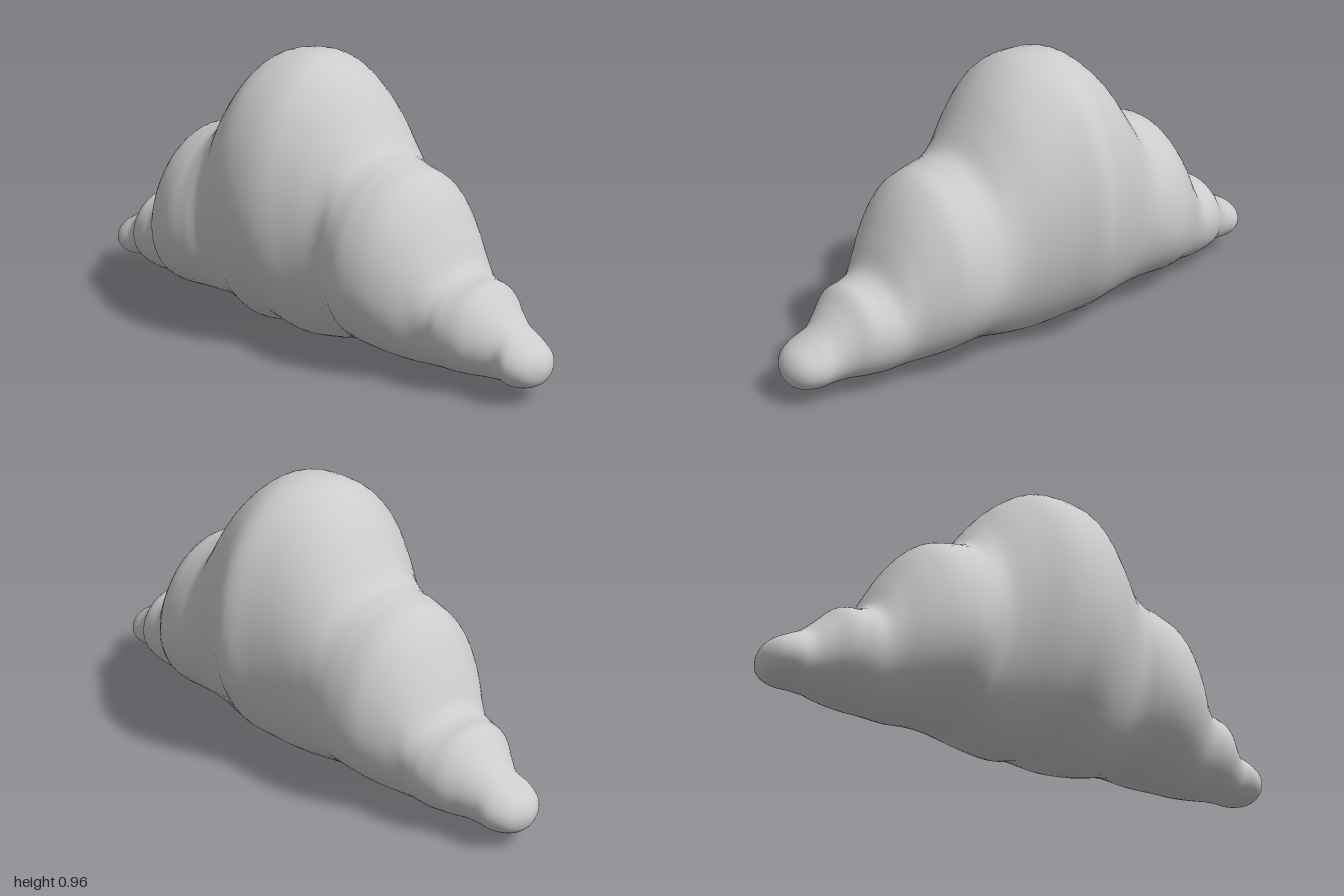
import * as THREE from 'three';

// Cross-sections from the middle bulge to the tip:
// [z, top y, bottom y, y of widest point, x of the right side, x of the left side]
const HALF = [
  [0.00, 0.970, 0.030, 0.48, -0.386, 0.386],
  [0.10, 0.950, 0.008, 0.48, -0.368, 0.345],
  [0.20, 0.872, 0.015, 0.46, -0.312, 0.305],
  [0.28, 0.770, 0.032, 0.40, -0.276, 0.280],
  [0.34, 0.690, 0.045, 0.35, -0.295, 0.279],
  [0.41, 0.662, 0.050, 0.32, -0.310, 0.281],
  [0.49, 0.637, 0.040, 0.31, -0.292, 0.265],
  [0.56, 0.568, 0.036, 0.28, -0.254, 0.227],
  [0.62, 0.468, 0.035, 0.25, -0.208, 0.190],
  [0.665, 0.378, 0.037, 0.215, -0.188, 0.178],
  [0.71, 0.347, 0.041, 0.20, -0.187, 0.174],
  [0.77, 0.337, 0.047, 0.19, -0.170, 0.155],
  [0.82, 0.290, 0.052, 0.17, -0.137, 0.122],
  [0.87, 0.243, 0.053, 0.145, -0.112, 0.101],
  [0.92, 0.212, 0.052, 0.13, -0.120, 0.096],
  [0.965, 0.186, 0.062, 0.125, -0.098, 0.072],
  [0.99, 0.158, 0.084, 0.122, -0.060, 0.036],
  [1.00, 0.122, 0.122, 0.122, -0.012, -0.012],
];

// Smooth curve through four rows, applied to every column
function blend(a, b, c, d, t) {
  return b.map((p, k) =>
    p + 0.5 * t * (c[k] - a[k] + t * (2 * a[k] - 5 * p + 4 * c[k] - d[k] + t * (3 * (p - c[k]) + d[k] - a[k]))));
}

// Past a tip the outline comes back on the opposite side
const turned = ([z, top, bottom, mid, right, left]) => [z, bottom, top, mid, left, right];

function bodyGeometry(steps = 5, sides = 56) {
  const mirrored = HALF.slice(1).reverse().map(([z, ...rest]) => [-z, ...rest]);
  const rows = [...mirrored, ...HALF];
  const last = rows.length - 1;
  const row = (i) => (i < 0 ? turned(rows[1]) : i > last ? turned(rows[last - 1]) : rows[i]);

  const sections = [];
  for (let i = 0; i < last; i++) {
    for (let s = 0; s < steps; s++) {
      sections.push(blend(row(i - 1), row(i), row(i + 1), row(i + 2), s / steps));
    }
  }
  sections.push(rows[last]);

  // Egg-shaped rings
  const positions = [];
  for (const [z, top, bottom, mid, right, left] of sections) {
    const cx = (left + right) / 2;
    const rx = (left - right) / 2;
    for (let j = 0; j < sides; j++) {
      const a = (j / sides) * Math.PI * 2;
      const h = Math.sin(a);
      positions.push(cx + rx * Math.cos(a), mid + h * (h > 0 ? top - mid : mid - bottom), z);
    }
  }

  // Join the rings; each tip is a single shared point
  const end = sections.length - 1;
  const at = (i, j) => i * sides + (i === 0 || i === end ? 0 : j % sides);
  const index = [];
  for (let i = 0; i < end; i++) {
    for (let j = 0; j < sides; j++) {
      const a = at(i, j), b = at(i, j + 1), c = at(i + 1, j), d = at(i + 1, j + 1);
      if (i > 0) index.push(a, b, c);
      if (i < end - 1) index.push(b, d, c);
      else continue;
    }
  }

  const geometry = new THREE.BufferGeometry();
  geometry.setAttribute('position', new THREE.Float32BufferAttribute(positions, 3));
  geometry.setIndex(index);
  geometry.computeVertexNormals();
  return geometry;
}

export function createModel() {
  const model = new THREE.Group();
  model.name = 'cloud';
  const body = new THREE.Mesh(bodyGeometry(), new THREE.MeshStandardMaterial({ color: 0xcccccc }));
  body.name = 'cloudBody';
  model.add(body);
  return model;
}
